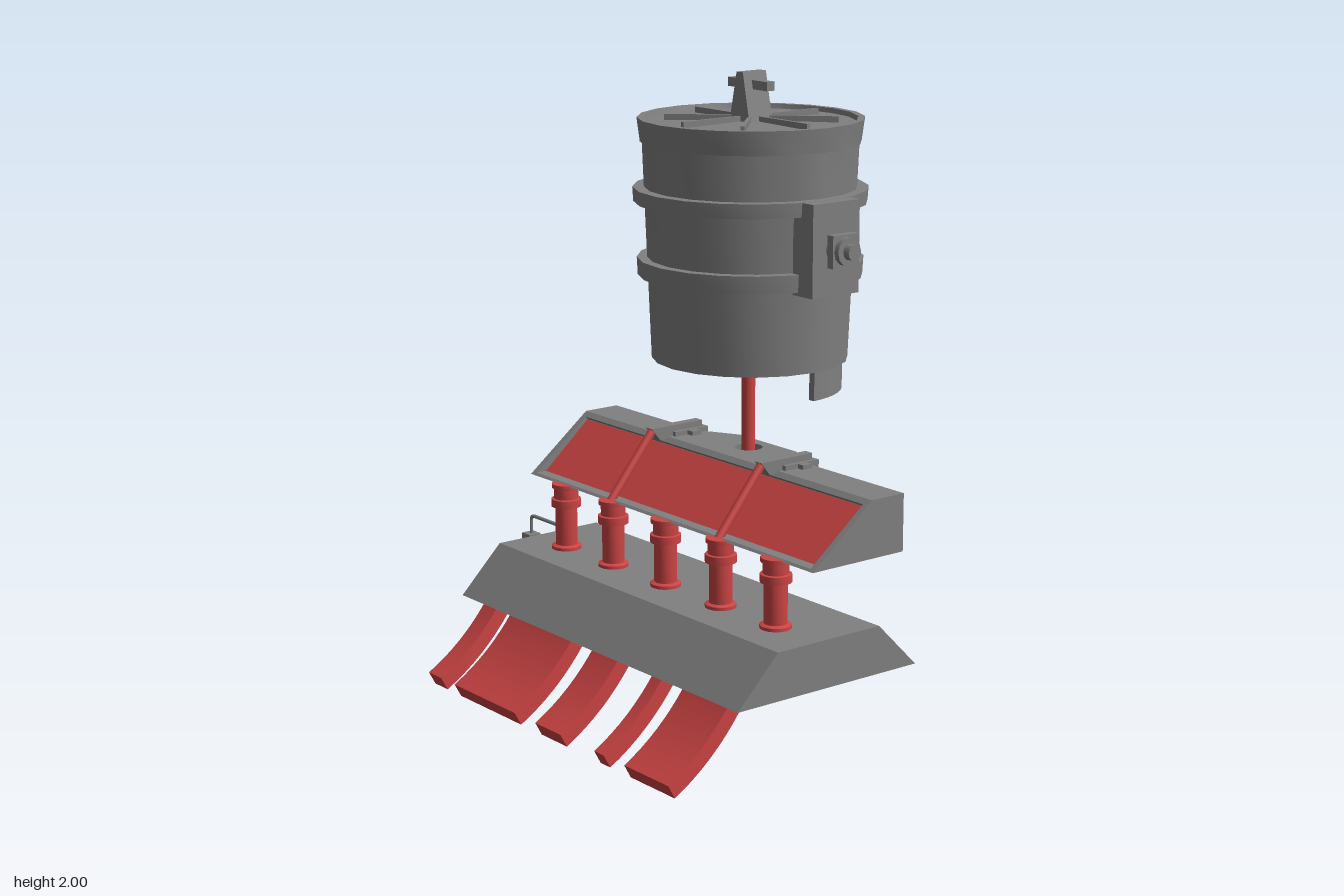
import * as THREE from 'three';
import { toCreasedNormals } from 'three/addons/utils/BufferGeometryUtils.js';

export function createModel() {
  const steel = new THREE.MeshStandardMaterial({ color: 0x808080 });
  steel.name = 'steel grey';
  const hot = new THREE.MeshStandardMaterial({ color: 0xcc4444 });
  hot.name = 'hot red';

  const model = new THREE.Group();
  model.name = 'castingMachine';
  const CX = 0.04; // shared centre line of ladle, trough and mould
  const LEFT = -0.67, RIGHT = 0.75;

  function add(parent, name, geometry, material, x = 0, y = 0, z = 0) {
    const mesh = new THREE.Mesh(geometry, material);
    mesh.name = name;
    mesh.position.set(x, y, z);
    parent.add(mesh);
    return mesh;
  }
  function group(name, x = 0, y = 0, z = 0) {
    const g = new THREE.Group();
    g.name = name;
    g.position.set(x, y, z);
    model.add(g);
    return g;
  }
  const vectors = (pts) => pts.map(([a, b]) => new THREE.Vector2(a, b));
  const lathe = (pts, sides = 20) =>
    toCreasedNormals(new THREE.LatheGeometry(vectors(pts), sides), 0.5);
  // Box given by its limits
  function span(parent, name, material, x0, x1, y0, y1, z0, z1) {
    return add(parent, name, new THREE.BoxGeometry(x1 - x0, y1 - y0, z1 - z0), material,
      (x0 + x1) / 2, (y0 + y1) / 2, (z0 + z1) / 2);
  }
  // Side profile of [z, y] points extruded from x0 to x1
  function sideProfile(pts, x0, x1) {
    const geo = new THREE.ExtrudeGeometry(new THREE.Shape(vectors(pts)),
      { depth: x1 - x0, bevelEnabled: false });
    geo.rotateY(-Math.PI / 2).translate(x1, 0, 0);
    return toCreasedNormals(geo, 0.4);
  }
  // Plan shape (drawn with y = -z) extruded upwards
  function planProfile(shape, y0, y1) {
    const geo = new THREE.ExtrudeGeometry(shape,
      { depth: y1 - y0, bevelEnabled: false, curveSegments: 12 });
    geo.rotateX(-Math.PI / 2).translate(0, y0, 0);
    return toCreasedNormals(geo, 0.5);
  }

  // ---- Ladle ----
  const ladle = group('ladle', CX, 0, -0.218);
  const shell = [[0, 1.15], [0.05, 1.15], [0.05, 1.105], [0.308, 1.105], [0.337, 1.785],
    [0.343, 1.785], [0.353, 1.86], [0.332, 1.86], [0.328, 1.845], [0, 1.85]];
  add(ladle, 'ladleShell', lathe(shell), steel);
  for (const [y0, y1, r] of [[1.37, 1.425, 0.354], [1.6, 1.645, 0.367]])
    add(ladle, 'ladleBand', lathe([[0.31, y0], [r - 0.003, y0], [r, y1], [0.31, y1]]), steel);

  // Half ring skirt at the back of the base
  const skirt = new THREE.Shape();
  skirt.absarc(0, 0, 0.29, 0.06, Math.PI - 0.06, false);
  skirt.absarc(0, 0, 0.268, Math.PI - 0.06, 0.06, true);
  add(ladle, 'ladleSkirt', planProfile(skirt, 1.01, 1.11), steel);

  // Lid ribs and lifting lug
  for (let i = 0; i < 8; i++) {
    const rib = new THREE.BoxGeometry(0.23, 0.02, 0.012);
    rib.translate(0.155, 1.855, 0).rotateY(i * Math.PI / 4);
    add(ladle, 'lidRib', rib, steel);
  }
  const lug = new THREE.ExtrudeGeometry(
    new THREE.Shape(vectors([[-0.048, 1.845], [0.048, 1.845], [0.015, 2], [-0.015, 2]])),
    { depth: 0.092, bevelEnabled: false });
  add(ladle, 'liftingLug', lug, steel, 0, 0, -0.046);
  span(ladle, 'liftingBar', steel, -0.094, 0.094, 1.947, 1.975, -0.015, 0.015);

  // Trunnions on both sides
  for (const s of [-1, 1]) {
    add(ladle, 'trunnionPlate', new THREE.BoxGeometry(0.09, 0.285, 0.185), steel, s * 0.357, 1.502, 0);
    add(ladle, 'trunnionBlock', new THREE.BoxGeometry(0.025, 0.1, 0.1), steel, s * 0.432, 1.502, 0);
    for (const [x, len, r] of [[0.409, 0.04, 0.04], [0.451, 0.022, 0.045], [0.472, 0.028, 0.025]])
      add(ladle, 'trunnionPin', new THREE.CylinderGeometry(r, r, len, 12).rotateZ(Math.PI / 2),
        steel, s * x, 1.502, 0);
  }

  // Pouring stream
  add(model, 'ladleStream', new THREE.CylinderGeometry(0.022, 0.022, 0.45, 14), hot, CX - 0.002, 0.925, -0.215);

  // ---- Trough below the ladle ----
  const trough = group('trough');
  const front = [[-0.13, 0.63], [0.13, 0.63], [0.122, 0.637], [0.082, 0.637],
    [-0.09, 0.787], [-0.081, 0.796], [-0.098, 0.81], [-0.13, 0.81]];
  add(trough, 'troughFront', sideProfile(front, LEFT + 0.02, RIGHT - 0.02), steel);
  const end = [[-0.13, 0.63], [0.13, 0.63], [-0.098, 0.81], [-0.13, 0.81]];
  add(trough, 'troughEnd', sideProfile(end, LEFT, LEFT + 0.02), steel);
  add(trough, 'troughEnd', sideProfile(end, RIGHT - 0.02, RIGHT), steel);
  const melt = [[0.084, 0.637], [-0.088, 0.787], [-0.092, 0.785], [0.08, 0.635]];
  add(trough, 'troughMelt', sideProfile(melt, LEFT + 0.021, RIGHT - 0.021), hot);
  // Back with a stepped-out middle and a pouring hole
  const back = new THREE.Shape(vectors([[LEFT, 0.13], [RIGHT, 0.13], [RIGHT, 0.225], [CX + 0.27, 0.225],
    [CX + 0.14, 0.295], [CX - 0.14, 0.295], [CX - 0.27, 0.225], [LEFT, 0.225]]));
  const hole = new THREE.Path();
  hole.absarc(CX, 0.215, 0.045, 0, Math.PI * 2, true);
  back.holes.push(hole);
  add(trough, 'troughBack', planProfile(back, 0.63, 0.81), steel);
  add(trough, 'troughHoleFloor', new THREE.CylinderGeometry(0.046, 0.046, 0.06, 16), steel, CX, 0.661, -0.215);

  // Stopper rods with their arms
  for (const x of [-0.237, 0.308]) {
    span(trough, 'stopperBase', steel, x - 0.055, x + 0.055, 0.805, 0.824, -0.2, -0.165);
    span(trough, 'stopperFoot', steel, x - 0.03, x + 0.03, 0.79, 0.825, -0.25, -0.115);
    add(trough, 'stopperArm', sideProfile([[-0.065, 0.802], [-0.03, 0.845], [-0.235, 0.845], [-0.235, 0.815],
      [-0.1, 0.808]], x - 0.016, x + 0.016), steel);
    const path = new THREE.LineCurve3(new THREE.Vector3(x, 0.837, -0.045), new THREE.Vector3(x, 0.63, 0.125));
    add(trough, 'stopperRod', new THREE.TubeGeometry(path, 1, 0.014, 10), hot);
  }

  // ---- Nozzles between trough and mould ----
  const nozzle = [[0, 0.41], [0.049, 0.41], [0.049, 0.425], [0.036, 0.43], [0.036, 0.555], [0.049, 0.558],
    [0.049, 0.583], [0.04, 0.585], [0.04, 0.618], [0.047, 0.62], [0.047, 0.634], [0, 0.634]];
  for (const x of [-0.493, -0.237, 0.035, 0.308, 0.567])
    add(model, 'nozzle', lathe(nozzle, 16), hot, x, 0, 0.115);

  // ---- Mould ----
  add(model, 'mould', sideProfile([[-0.285, 0.265], [0.41, 0.265], [0.26, 0.415], [-0.135, 0.415]],
    LEFT, RIGHT), steel);

  // Gauge box with a bent feeler
  const gauge = group('gauge');
  span(gauge, 'gaugeBase', steel, -0.755, -0.66, 0.265, 0.3, 0.06, 0.157);
  const housing = new THREE.CylinderGeometry(0.035, 0.052, 0.075, 4, 1).rotateY(Math.PI / 4);
  add(gauge, 'gaugeHousing', toCreasedNormals(housing, 0.3), steel, -0.704, 0.337, 0.108);
  span(gauge, 'gaugeCap', steel, -0.727, -0.683, 0.374, 0.415, 0.086, 0.13);
  const bend = new THREE.CurvePath();
  const p = [[-0.703, 0.41], [-0.703, 0.46], [-0.703, 0.477], [-0.685, 0.477], [-0.52, 0.477]]
    .map(([x, y]) => new THREE.Vector3(x, y, 0.108));
  bend.add(new THREE.LineCurve3(p[0], p[1]));
  bend.add(new THREE.QuadraticBezierCurve3(p[1], p[2], p[3]));
  bend.add(new THREE.LineCurve3(p[3], p[4]));
  add(gauge, 'gaugeFeeler', new THREE.TubeGeometry(bend, 30, 0.006, 6), steel);

  // ---- Curved strands leaving the mould ----
  const arc = (r, t) => {
    const a = THREE.MathUtils.degToRad(60 - 31 * t);
    return [0.917 - r * Math.sin(a), 0.663 - r * Math.cos(a)];
  };
  const strand = [];
  for (let i = 0; i <= 10; i++) strand.push(arc(0.705, i / 10));
  for (let i = 10; i >= 0; i--) strand.push(arc(0.755, i / 10));
  for (const [x0, x1] of [[-0.626, -0.554], [-0.476, -0.139], [-0.028, 0.104], [0.277, 0.325], [0.426, 0.637]])
    add(model, 'strand', sideProfile(strand, x0, x1), hot);

  return model;
}
